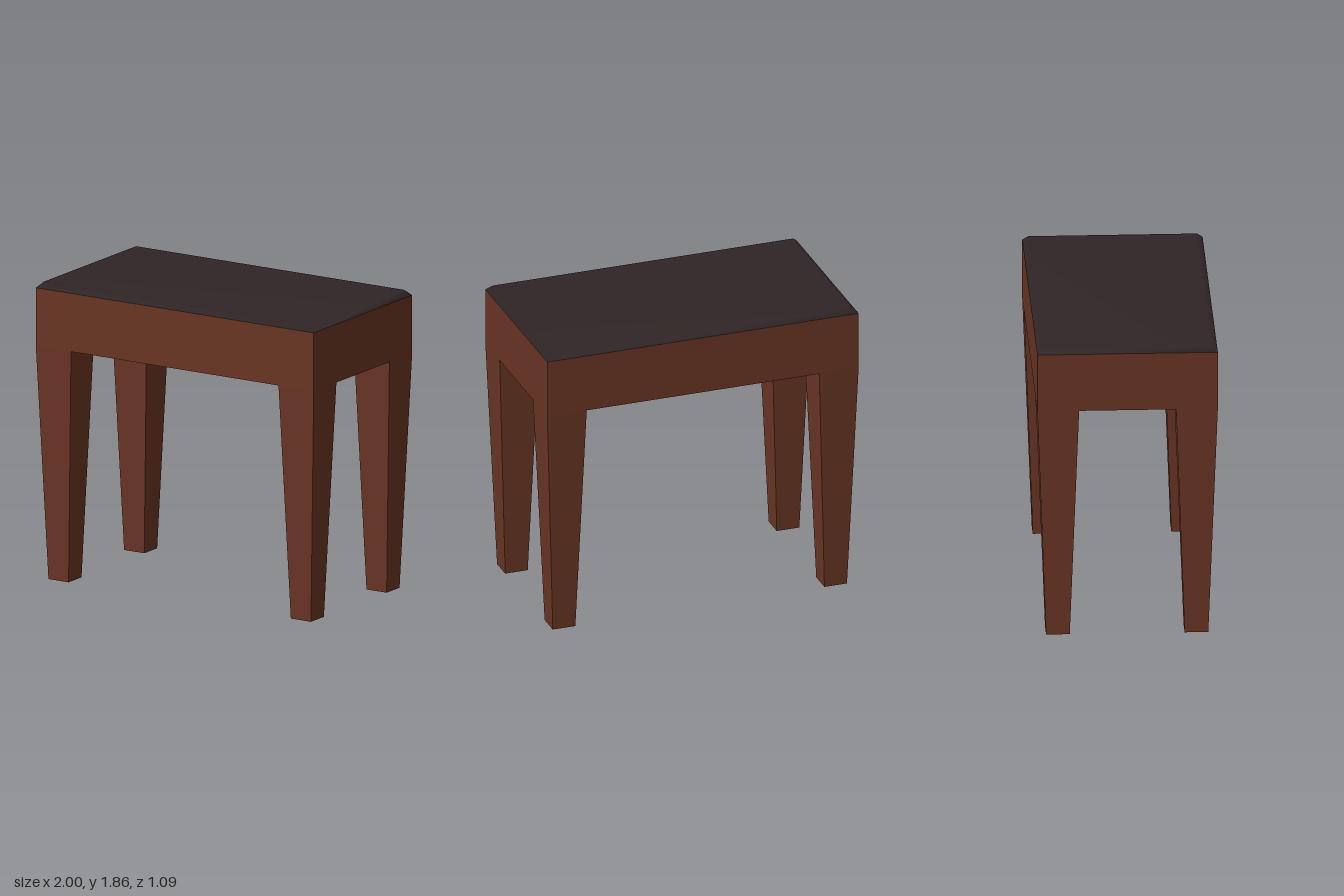
import * as THREE from 'three';

const W = 1, D = 0.545;            // half width and half depth
const APRON = 1.457, RIM = 1.82, TOP = 1.855;

// Box whose top and bottom rectangles [x0, x1, z0, z1] differ
function taperedBox(bottom, top, y0, y1) {
  const g = new THREE.BoxGeometry(1, 1, 1);
  const p = g.attributes.position;
  for (let i = 0; i < p.count; i++) {
    const up = p.getY(i) > 0, r = up ? top : bottom;
    p.setXYZ(i, p.getX(i) > 0 ? r[1] : r[0], up ? y1 : y0, p.getZ(i) > 0 ? r[3] : r[2]);
  }
  g.computeVertexNormals();
  return g;
}

// Bevelled pad with normals softened over the bevel, open underneath
function padGeometry(bevel) {
  const corners = [[-1, 1], [1, 1], [1, -1], [-1, -1]];
  const pos = [], index = [4, 5, 6, 4, 6, 7];
  for (const [inset, y] of [[0, RIM], [bevel, TOP]])
    for (const [sx, sz] of corners) pos.push(sx * (W - inset), y, sz * (D - inset));
  for (let i = 0; i < 4; i++) {
    const j = (i + 1) % 4;
    index.push(i, j, j + 4, i, j + 4, i + 4);
  }
  const g = new THREE.BufferGeometry();
  g.setAttribute('position', new THREE.Float32BufferAttribute(pos, 3));
  g.setIndex(index);
  g.computeVertexNormals();
  return g;
}

export function createModel() {
  const wood = new THREE.MeshStandardMaterial({ color: 0x693524 });
  wood.name = 'brown wood';
  const dark = new THREE.MeshStandardMaterial({ color: 0x302526 });
  dark.name = 'dark seat';

  const model = new THREE.Group();
  model.name = 'stool';
  const add = (name, geometry, material) => {
    const mesh = new THREE.Mesh(geometry, material);
    mesh.name = name;
    model.add(mesh);
  };

  // Solid apron and bevelled seat
  const full = [-W, W, -D, D];
  add('apron', taperedBox(full, full, APRON, RIM), wood);
  add('seat', padGeometry(0.035), dark);

  // Four legs, tapering evenly towards the floor
  const span = (s, a, b) => (s > 0 ? [a, b] : [-b, -a]);
  for (const [sx, side] of [[1, 'Left'], [-1, 'Right']])
    for (const [sz, end] of [[1, 'front'], [-1, 'back']]) {
      const foot = [...span(sx, 0.8, 0.945), ...span(sz, 0.347, 0.49)];
      const head = [...span(sx, 0.747, W), ...span(sz, 0.293, D)];
      add(`${end}${side}Leg`, taperedBox(foot, head, 0, APRON), wood);
    }
  return model;
}
